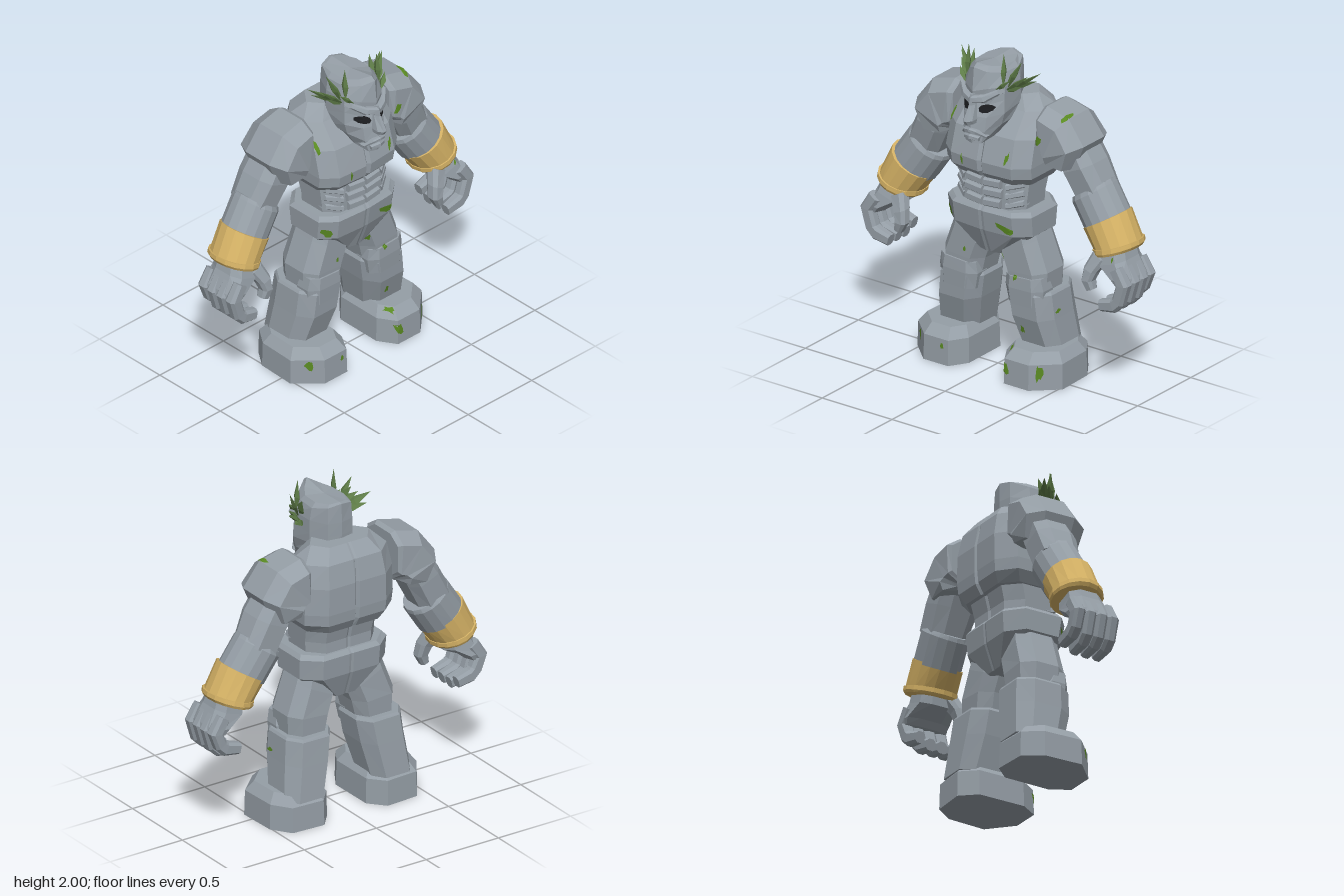
import * as THREE from 'three';

const mat = (name, color, side = THREE.FrontSide) => {
  const m = new THREE.MeshStandardMaterial({ color, side, flatShading: true });
  m.name = name;
  return m;
};
const stone = mat('stone', 0x959ea6);
const gold = mat('gold', 0xd6b366);
const leafGreen = mat('leaf green', 0x5f7d48);
const moss = mat('moss', 0x5a8a22, THREE.DoubleSide);
const dark = mat('dark eye', 0x1b1c1f, THREE.DoubleSide);

// Closed skin through equal-length rings of [x, y, z]; turned outward by its signed volume
function loft(rings) {
  const tris = [], n = rings[0].length;
  for (let i = 0; i < rings.length - 1; i++) for (let j = 0; j < n; j++) {
    const k = (j + 1) % n, a = rings[i][j], b = rings[i][k], c = rings[i + 1][k], d = rings[i + 1][j];
    tris.push([a, d, c], [a, c, b]);
  }
  const cap = (r, flip) => {
    const m = [0, 1, 2].map(c => r.reduce((s, p) => s + p[c], 0) / n);
    r.forEach((p, j) => { const q = r[(j + 1) % n]; tris.push(flip ? [m, q, p] : [m, p, q]); });
  };
  cap(rings[0], false);
  cap(rings[rings.length - 1], true);
  let vol = 0;
  for (const [a, b, c] of tris) vol += new THREE.Vector3(...a).dot(new THREE.Vector3(...b).cross(new THREE.Vector3(...c)));
  if (vol < 0) tris.forEach(t => t.reverse());
  const g = new THREE.BufferGeometry();
  g.setAttribute('position', new THREE.Float32BufferAttribute(tris.flat(2), 3));
  g.computeVertexNormals();
  return g;
}

const OCT = [[1, -.5], [1, .5], [.6, 1], [-.6, 1], [-1, .5], [-1, -.5], [-.6, -1], [.6, -1]];
const ROUND = Array.from({ length: 16 }, (_, i) => [Math.cos(i * Math.PI / 8), Math.sin(i * Math.PI / 8)]);

// Cross-section between two silhouette points, with a centre and half depth in z
const section = (s, [x1, y1, x2, y2, z, hz], form = OCT) => form.map(([u, v]) => [
  s * ((x1 + x2) / 2 + u * (x1 - x2) / 2), (y1 + y2) / 2 + u * (y1 - y2) / 2, z + v * hz]);
const limb = (s, rows, form) => loft(rows.map(r => section(s, r, form)));

// Bar following points [x, y, z, half thickness, half depth]
const bar = (s, path) => limb(s, path.map(([x, y, z, r, hz], i) => {
  const a = path[Math.max(i - 1, 0)], b = path[Math.min(i + 1, path.length - 1)];
  const l = Math.hypot(b[0] - a[0], b[1] - a[1]) || 1, nx = -(b[1] - a[1]) / l * r, ny = (b[0] - a[0]) / l * r;
  return [x + nx, y + ny, x - nx, y - ny, z, hz];
}));

// Ring from a half outline running front centre to back centre
const mirrorRing = h => [...h, ...h.slice(1, -1).reverse().map(([x, y, z]) => [-x, y, z])];
const bodyRing = ([y, w, f, b, n = 0.004]) => mirrorRing([
  [0, f - n], [.018, f], [.7 * w, f - .015], [w, f - .09], [w, b + .09], [.65 * w, b], [.015, b], [0, b + n]
].map(([x, z]) => [x, y, z]));

export function createModel() {
  const model = new THREE.Group();
  model.name = 'stoneGiant';
  const add = (name, geo, m = stone) => {
    const mesh = new THREE.Mesh(geo, m);
    mesh.name = name;
    model.add(mesh);
    return mesh;
  };
  let seed = 7;
  const rnd = () => (seed = (seed * 16807) % 2147483647) / 2147483647;

  // Thin irregular patch laid on the surface, seen along an axis
  const ray = new THREE.Raycaster();
  const patch = (name, m, axis, a, b, ra, rb, tilt = 0, rough = .6) => {
    const place = (u, v, fallback) => {
      const o = axis === 'z' ? [u, v, 2] : axis === 'y' ? [u, 2, v] : [2, v, u];
      const d = { x: [-1, 0, 0], y: [0, -1, 0], z: [0, 0, -1] }[axis];
      ray.set(new THREE.Vector3(...o), new THREE.Vector3(...d));
      const hit = ray.intersectObjects(model.children.filter(c => c.material !== m), false)[0];
      let dist = hit ? hit.distance : fallback;
      if (fallback !== undefined && Math.abs(dist - fallback) > .08) dist = fallback;
      return { p: o.map((c, i) => c + d[i] * ((dist ?? 2) - .006)), dist };
    };
    const c = place(a, b), rings = [[], []];
    for (let i = 0; i < 9; i++) {
      const t = i / 9 * Math.PI * 2, k = 1 - rough * rnd();
      const x = Math.cos(t) * ra * k, y = Math.sin(t) * rb * k;
      const u = x * Math.cos(tilt) - y * Math.sin(tilt), v = x * Math.sin(tilt) + y * Math.cos(tilt);
      [.5, 1].forEach((f, q) => rings[q].push(place(a + u * f, b + v * f, c.dist).p));
    }
    const pos = [];
    for (let i = 0; i < 9; i++) {
      const j = (i + 1) % 9, [p, q] = rings;
      pos.push(c.p, p[i], p[j], p[i], q[i], q[j], p[i], q[j], p[j]);
    }
    const g = new THREE.BufferGeometry();
    g.setAttribute('position', new THREE.Float32BufferAttribute(pos.flat(), 3));
    g.computeVertexNormals();
    add(name, g, m);
  };

  // Head: jaw, cheeks, brow line, skull and sloping crown
  add('head', loft([
    [[0, 1.46, .25], [.055, 1.465, .235], [.08, 1.49, .14], [.08, 1.52, .04], [.06, 1.54, -.1], [0, 1.54, -.13]],
    [[0, 1.54, .262], [.075, 1.54, .225], [.125, 1.57, .13], [.13, 1.58, 0], [.08, 1.58, -.13], [0, 1.58, -.15]],
    [[0, 1.63, .25], [.08, 1.625, .215], [.145, 1.64, .13], [.14, 1.66, -.03], [.085, 1.66, -.135], [0, 1.66, -.15]],
    [[0, 1.71, .232], [.08, 1.7, .192], [.142, 1.72, .125], [.14, 1.72, -.03], [.085, 1.72, -.135], [0, 1.72, -.152]],
    [[0, 1.78, .242], [.08, 1.8, .2], [.14, 1.8, .12], [.138, 1.8, -.03], [.085, 1.8, -.135], [0, 1.8, -.153]],
    [[0, 1.925, .228], [.06, 1.895, .185], [.115, 1.875, .1], [.125, 1.875, -.03], [.08, 1.9, -.13], [0, 1.915, -.15]],
    [[0, 1.945, .2], [.05, 1.92, .15], [.095, 1.905, .08], [.1, 1.905, -.03], [.06, 1.91, -.11], [0, 1.92, -.13]],
  ].map(mirrorRing)));
  for (const s of [1, -1]) {
    patch('eye', dark, 'z', s * .072, 1.677, .044, .027, s * .2, .15);
    add('brow', bar(s, [[.008, 1.735, .235, .022, .035], [.07, 1.745, .212, .024, .03], [.135, 1.785, .15, .016, .03]]));
  }
  add('nose', loft([[1.765, .016, .255], [1.7, .018, .268], [1.615, .032, .315], [1.59, .028, .3]].map(([y, w, z]) =>
    [[-w, y, .2], [-w, y, z - .03], [-w * .35, y, z], [w * .35, y, z], [w, y, z - .03], [w, y, .2]])));
  for (const s of [1, -1]) add('upperLip', bar(s, [[0, 1.548, .262, .012, .02], [.04, 1.54, .25, .012, .02], [.082, 1.505, .205, .008, .02]]));
  add('lowerLip', bar(1, [[-.05, 1.495, .235, .014, .02], [0, 1.505, .255, .016, .022], [.05, 1.495, .235, .014, .02]]));

  // Torso
  add('chest', loft([
    [1.19, .26, .115, -.27, .012], [1.25, .3, .17, -.305, .02], [1.32, .305, .18, -.312, .02],
    [1.485, .3, .135, -.312, .016], [1.62, .28, .02, -.285], [1.7, .2, -.03, -.22]].map(bodyRing)));
  add('waist', loft([[.98, .23, .13, -.22, .01], [1.1, .24, .13, -.22, .01], [1.22, .25, .12, -.25, .01]].map(bodyRing)));
  add('pelvis', loft([[.73, .1, .09, -.19], [.885, .295, .15, -.245], [1.01, .3, .168, -.255], [1.035, .28, .15, -.235]].map(bodyRing)));
  for (const s of [1, -1]) {
    for (const [y, w] of [[1.185, .055], [1.125, .06], [1.06, .055]])
      add('abdominal', limb(s, [[.008, y + .026, .008, y - .026, .125, .03], [.008 + 2 * w, y + .032, .008 + 2 * w, y - .022, .115, .03]]));
    for (const y of [1.06, 1.12, 1.175])
      add('rib', bar(s, [[.15, y, .1, .02, .03], [.235, y + .02, .04, .018, .03]]));
  }

  for (const s of [1, -1]) {
    // Arms
    add('shoulder', limb(s, [
      [.3, 1.665, .3, 1.4, -.125, .155], [.33, 1.68, .31, 1.38, -.12, .18],
      [.485, 1.64, .32, 1.37, -.12, .185], [.595, 1.495, .32, 1.38, -.12, .195], [.53, 1.342, .34, 1.36, -.12, .175]]));
    add('upperArm', limb(s, [
      [.57, 1.46, .37, 1.4, -.14, .13], [.625, 1.38, .425, 1.29, -.14, .135], [.7, 1.235, .5, 1.14, -.15, .12]]));
    add('forearm', limb(s, [
      [.695, 1.285, .455, 1.12, -.145, .125], [.71, 1.265, .462, 1.095, -.145, .14], [.82, 1.1, .56, .95, -.135, .14]], ROUND));
    add('bracelet', limb(s, [[.82, 1.127, .553, .966, -.13, .148], [.902, .955, .635, .862, -.125, .152]], ROUND), gold);
    add('braceletRim', limb(s, [[.912, .965, .625, .868, -.125, .16], [.917, .94, .632, .842, -.125, .162],
      [.905, .918, .645, .832, -.125, .155]], ROUND), gold);

    // Hands with curled fingers
    add('palm', limb(s, [
      [.855, .95, .69, .87, -.11, .1], [.885, .86, .7, .8, -.1, .12], [.935, .765, .81, .75, -.1, .14], [.945, .73, .84, .715, -.1, .13]]));
    [.018, -.058, -.134, -.206].forEach((z, i) => {
      const k = i === 3 ? .03 : 0;
      add('finger', bar(s, [[.86, .82, z, .04, .034], [.915, .735, z, .042, .038], [.882, .625 + k, z, .04, .036],
        [.85, .595 + k, z, .042, .036], [.755, .572 + k, z, .034, .03]]));
    });
    add('thumb', bar(s, [[.725, .86, -.03, .05, .05], [.682, .775, .01, .042, .045], [.668, .71, .025, .036, .04], [.69, .655, .025, .026, .03]]));

    // Legs
    add('thigh', limb(s, [
      [.27, .92, .05, .82, -.05, .14], [.295, .85, .045, .73, -.055, .145], [.365, .66, .08, .64, -.06, .15], [.355, .5, .115, .5, -.06, .145]]));
    add('knee', limb(s, [[.355, .635, .11, .62, .03, .07], [.37, .56, .1, .55, .015, .09], [.36, .46, .12, .45, .01, .09]]));
    add('shin', limb(s, [
      [.385, .545, .1, .545, -.075, .165], [.395, .53, .09, .525, -.075, .175],
      [.41, .38, .115, .38, -.085, .18], [.435, .17, .165, .17, -.125, .16]]));
    const sole = [[.2, .21], [.375, .21], [.52, .075], [.51, -.17], [.43, -.285], [.22, -.297], [.135, -.2], [.132, .1]];
    add('foot', loft([[0, 1], [.155, .98], [.215, .76]].map(([y, k]) =>
      sole.map(([x, z]) => [s * (.318 + (x - .318) * k), y, -.05 + (z + .05) * k]))));

    // Leaf clusters at the temples
    for (const [bx, by, bz, tx, ty, tz, w] of [
      [.13, 1.78, .12, .125, 2.0, .11, .028], [.13, 1.77, .09, .215, 1.95, .06, .03], [.13, 1.76, .06, .285, 1.87, -.03, .032],
      [.12, 1.76, .06, .25, 1.81, -.04, .03], [.12, 1.76, .11, .24, 1.86, .03, .03], [.12, 1.77, .1, .17, 1.92, 0, .034],
      [.1, 1.78, .17, .18, 1.85, .12, .026], [.13, 1.76, .1, .19, 1.78, .02, .03]]) {
      const a = new THREE.Vector3(s * bx, by, bz), b = new THREE.Vector3(s * tx, ty, tz), d = b.clone().sub(a);
      const leaf = add('leaf', new THREE.OctahedronGeometry(1), leafGreen);
      leaf.geometry.scale(.014, d.length() / 2, w);
      leaf.geometry.applyQuaternion(new THREE.Quaternion().setFromUnitVectors(new THREE.Vector3(0, 1, 0), d.normalize()));
      leaf.geometry.translate(...a.add(b).multiplyScalar(.5).toArray());
    }
  }

  // Moss patches
  for (const p of [
    ['z', .165, .925, .085, .042, -.3], ['z', -.262, .935, .035, .045, .4], ['z', .335, 1.5, .03, .045, -.3],
    ['z', .18, 1.37, .015, .055, -.2], ['z', -.285, 1.5, .014, .05], ['z', -.13, 1.3, .012, .05, .1],
    ['z', .215, .1, .035, .05, .5], ['z', .42, .1, .016, .065], ['z', -.44, .11, .025, .055, .2], ['z', -.24, .115, .016, .02],
    ['z', .235, .3, .02, .035], ['z', .2, .2, .025, .02], ['z', .2, .62, .02, .02], ['z', .09, .72, .014, .03],
    ['z', .83, .87, .012, .03], ['z', -.17, .7, .012, .025],
    ['y', .47, -.05, .03, .075, .15], ['x', -.03, .425, .035, .016], ['x', .16, .11, .014, .05]])
    patch('moss', moss, ...p);

  return model;
}
